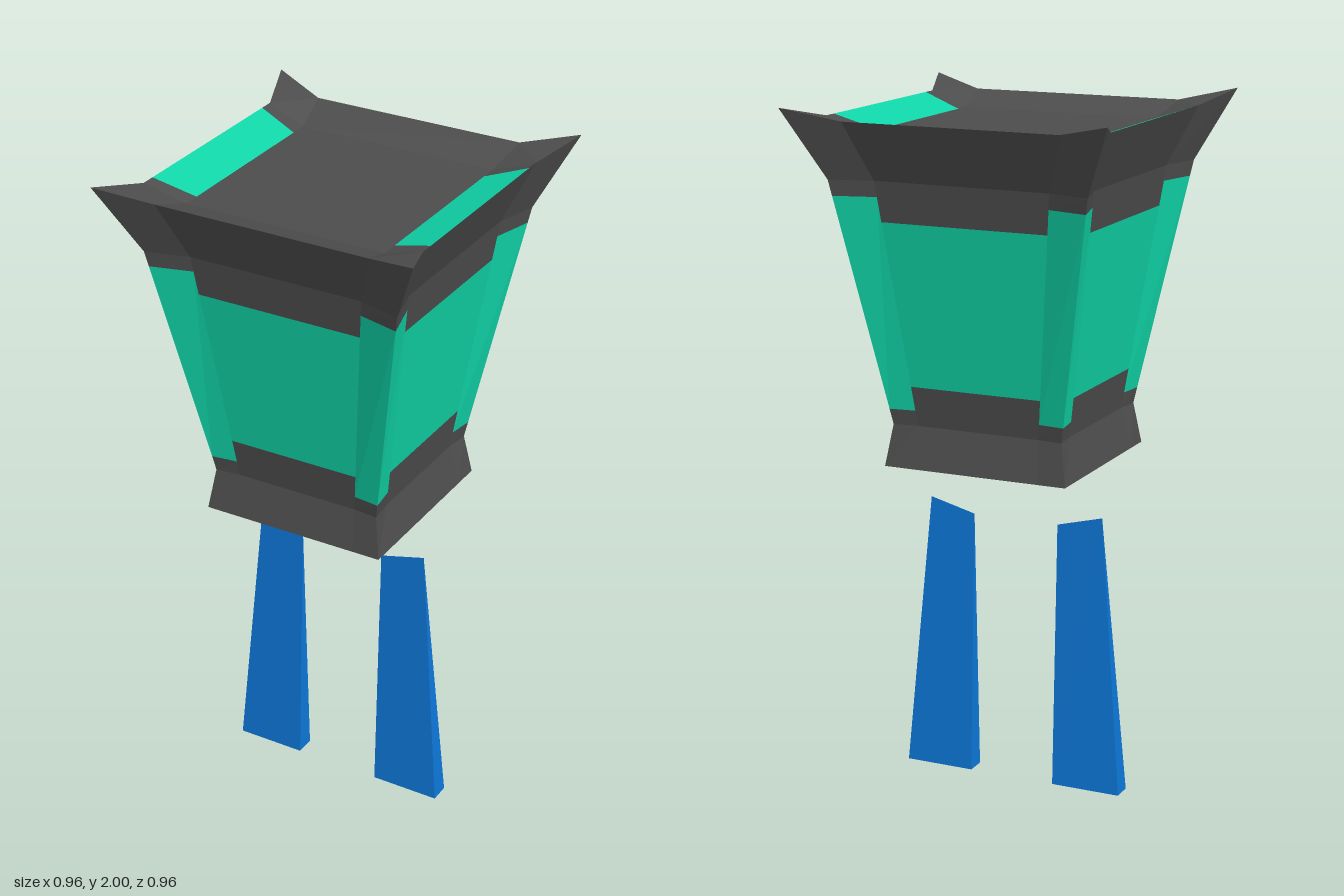
import * as THREE from 'three';

const mat = (name, color) => {
  const m = new THREE.MeshStandardMaterial({ color, side: THREE.DoubleSide, flatShading: true });
  m.name = name;
  return m;
};

// Mesh from quads, each given as four corners in counter-clockwise order
function quadMesh(name, quads, material) {
  const pos = [];
  for (const [a, b, c, d] of quads) pos.push(...a, ...b, ...c, ...a, ...c, ...d);
  const g = new THREE.BufferGeometry();
  g.setAttribute('position', new THREE.Float32BufferAttribute(pos, 3));
  g.computeVertexNormals();
  const mesh = new THREE.Mesh(g, material);
  mesh.name = name;
  return mesh;
}

// Wall levels: corner height and reach, panel height, half width and reach
const LEVELS = [
  { yc: 0.98, c: 0.277, ym: 0.98, a: 0.195, m: 0.277 },
  { yc: 1.1, c: 0.258, ym: 1.1, a: 0.185, m: 0.25 },
  { yc: 1.8, c: 0.384, ym: 1.8, a: 0.26, m: 0.35 },
  { yc: 2.0, c: 0.478, ym: 1.965, a: 0.32, m: 0.42 },
];

// Point on the sloping wall (between levels 1 and 2) at height y
function wallLevel(y) {
  const [, lo, hi] = LEVELS;
  const t = (y - lo.yc) / (hi.yc - lo.yc);
  const mix = (k) => lo[k] + (hi[k] - lo[k]) * t;
  return { yc: y, ym: y, c: mix('c'), a: mix('a'), m: mix('m') };
}

const corner = (l, s) => [s * l.c, l.yc, l.c];
const edge = (l, s) => [s * l.a, l.ym, l.m];

// Facets of one wall between two levels
const panel = (l, h) => [edge(l, -1), edge(l, 1), edge(h, 1), edge(h, -1)];
const cornerFacets = (l, h) => [
  [corner(l, -1), edge(l, -1), edge(h, -1), corner(h, -1)],
  [edge(l, 1), corner(l, 1), corner(h, 1), edge(h, 1)],
];

export function createModel() {
  const model = new THREE.Group();
  const dark = mat('darkGrey', 0x4d4d4d);
  const green = mat('jadeGreen', 0x10d5a8);
  const blue = mat('blue', 0x0d77d8);

  const lantern = new THREE.Group();
  lantern.name = 'lantern';
  model.add(lantern);

  // Four walls: flared rim, glowing pane, flared foot
  const [foot, low, high, rim] = LEVELS;
  const [p0, p1, c0, c1] = [1.215, 1.685, 1.145, 1.755].map(wallLevel);
  const frameQuads = [
    panel(foot, low), panel(low, p0), panel(p1, high), panel(high, rim),
    ...cornerFacets(foot, low), ...cornerFacets(low, c0),
    ...cornerFacets(c1, high), ...cornerFacets(high, rim),
  ];
  const paneQuads = [panel(p0, p1), ...cornerFacets(c0, c1)];

  // Sunken roof tray: sloping strips from the rim down to a flat plate
  const P = 0.3, PY = 1.925;
  const inner = (x) => [x, PY, P];
  const outer = (x) => [x, rim.ym, rim.m];
  const strip = (o0, o1, i0, i1) => [outer(o0), outer(o1), inner(i1), inner(i0)];
  const cornerQuad = [outer(rim.a), corner(rim, 1), [rim.m, rim.ym, rim.a], inner(P)];

  for (let i = 0; i < 4; i++) {
    const side = new THREE.Group();
    side.name = ['frontWall', 'leftWall', 'backWall', 'rightWall'][i];
    side.rotation.y = (i * Math.PI) / 2;
    side.add(quadMesh('wallFrame', frameQuads, dark), quadMesh('wallPane', paneQuads, green));
    const tray = [cornerQuad];
    if (i % 2) {
      // Side strips carry a green inset
      tray.push(strip(-rim.a, -0.278, -P, -0.25), strip(0.278, rim.a, 0.25, P));
      side.add(quadMesh('roofInset', [strip(-0.278, 0.278, -0.25, 0.25)], green));
    } else {
      tray.push(strip(-rim.a, rim.a, -P, P));
    }
    side.add(quadMesh('roofSlope', tray, dark));
    lantern.add(side);
  }
  lantern.add(quadMesh('roofPlate', [[[-P, PY, P], [P, PY, P], [P, PY, -P], [-P, PY, -P]]], dark));

  // Two hanging blades: wedges that thin to a sharp slanted top edge
  for (const s of [1, -1]) {
    const at = (x, y, z) => [s * x - 0.005, y, z];
    const [zf, zb, zt] = [0.02, -0.04, -0.01];
    const fi = at(0.132, 0, zf), fo = at(0.341, 0, zf);
    const bi = at(0.132, 0, zb), bo = at(0.341, 0, zb);
    const ti = at(0.132, 0.787, zt), to = at(0.271, 0.823, zt);
    const quads = [
      [fi, fo, to, ti], [bo, bi, ti, to],
      [fo, bo, to, to], [bi, fi, ti, ti], [bi, bo, fo, fi],
    ];
    if (s < 0) quads.forEach((q) => q.reverse());
    model.add(quadMesh(s > 0 ? 'leftBlade' : 'rightBlade', quads, blue));
  }
  return model;
}
